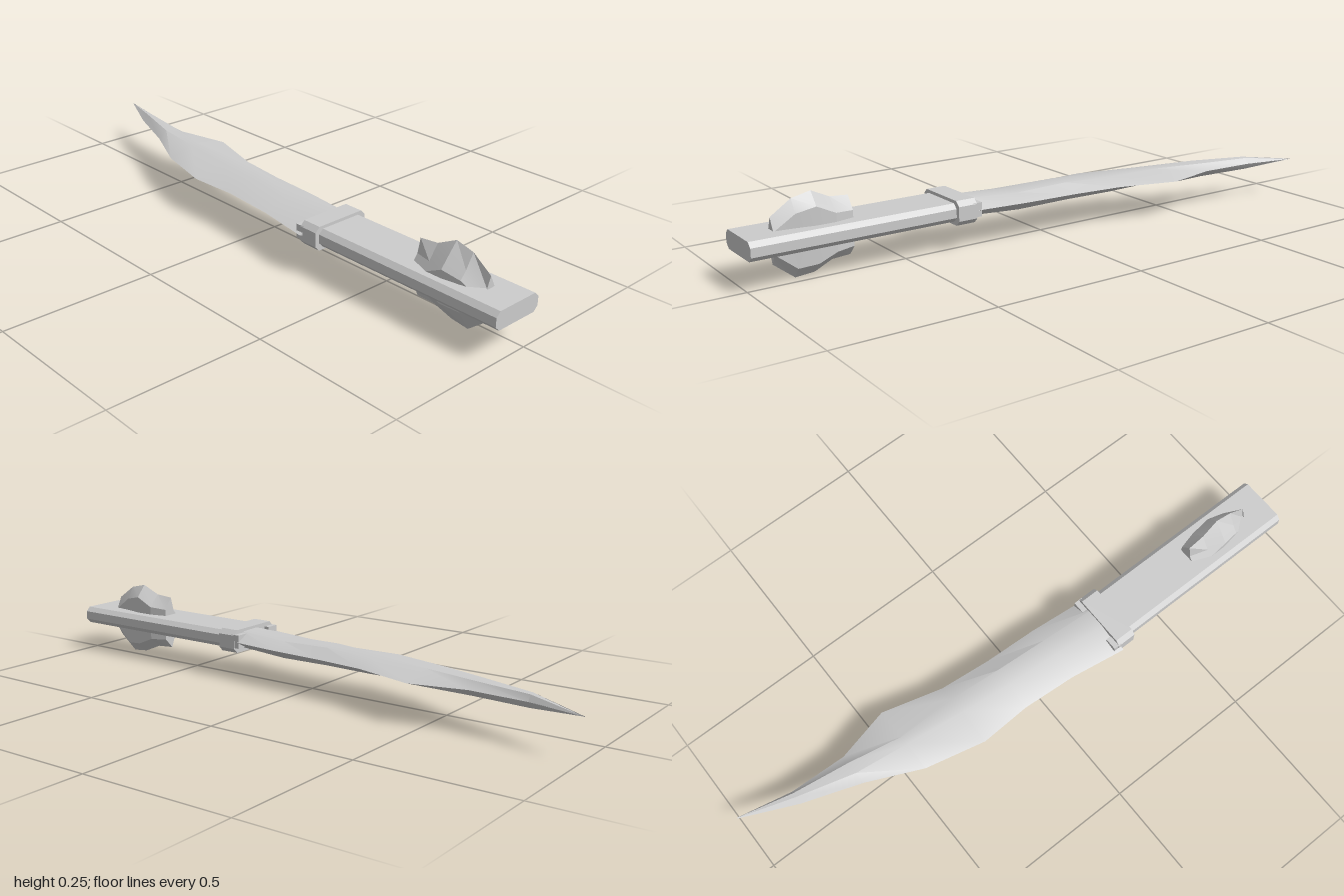
import * as THREE from 'three';
import { toCreasedNormals } from 'three/addons/utils/BufferGeometryUtils.js';

// Skin a list of closed rings, each counter-clockwise from the front and ordered front to back
function loft(rings, crease) {
  const n = rings[0].length, pos = [];
  const tri = (a, b, c) => pos.push(...a, ...b, ...c);
  for (let i = 0; i < rings.length - 1; i++) {
    for (let j = 0; j < n; j++) {
      const k = (j + 1) % n, a = rings[i], b = rings[i + 1];
      tri(a[j], b[j], a[k]);
      tri(a[k], b[j], b[k]);
    }
  }
  const first = rings[0], last = rings[rings.length - 1];
  for (let j = 1; j < n - 1; j++) {
    tri(first[0], first[j], first[j + 1]);
    tri(last[0], last[j + 1], last[j]);
  }
  const g = new THREE.BufferGeometry();
  g.setAttribute('position', new THREE.Float32BufferAttribute(pos, 3));
  return toCreasedNormals(g, crease);
}

// Rectangle with cut corners, as a ring at depth z
function cutRect(x0, x1, y0, y1, c, z) {
  return [[x0 + c, y0], [x1 - c, y0], [x1, y0 + c], [x1, y1 - c],
    [x1 - c, y1], [x0 + c, y1], [x0, y1 - c], [x0, y0 + c]].map(([x, y]) => [x, y, z]);
}

export function createModel() {
  const group = new THREE.Group();
  const steel = new THREE.MeshStandardMaterial({ color: 0xcccccc });
  steel.name = 'pale grey';
  const add = (name, geometry) => {
    const mesh = new THREE.Mesh(geometry, steel);
    mesh.name = name;
    group.add(mesh);
    return mesh;
  };

  // Flat grip and the collar that holds the blade
  add('handle', loft([1, 0.29].map(z => cutRect(-0.132, 0.045, 0.1, 0.158, 0.015, z)), 0.3));
  add('guard', loft([0.345, 0.28].map(z => cutRect(-0.147, 0.059, 0.09, 0.168, 0.016, z)), 0.3));
  for (const x of [-0.125, 0.037]) {
    add('guardTab', new THREE.BoxGeometry(0.042, 0.045, 0.03)).position.set(x, 0.132, 0.277);
  }

  // Blade stations: z, left edge, left ridge, right ridge, right edge, bottom, top
  const stations = [
    [0.29, -0.16, -0.06, 0.005, 0.057, 0.1, 0.16],
    [0.1, -0.13, -0.04, 0.02, 0.075, 0.093, 0.153],
    [-0.08, -0.117, -0.03, 0.03, 0.083, 0.098, 0.16],
    [-0.25, -0.125, -0.01, 0.045, 0.1, 0.101, 0.156],
    [-0.45, -0.078, 0.015, 0.045, 0.155, 0.104, 0.154],
    [-0.63, 0.005, 0.038, 0.08, 0.112, 0.103, 0.153],
    [-0.82, 0.072, 0.092, 0.108, 0.12, 0.108, 0.151],
    [-1, 0.155, 0.157, 0.157, 0.158, 0.13, 0.131],
  ];
  add('blade', loft(stations.map(([z, l, rl, rr, r, b, t]) => [
    [l, 0.13, z], [rl, b, z], [rr, b + 0.002, z],
    [r, 0.13, z], [rr, t - 0.002, z], [rl, t, z],
  ]), 0.45));

  // Faceted stone set through the grip: z, left, ridge x, right, bottom, top
  const cuts = [
    [0.905, -0.068, -0.04, -0.02, 0.055, 0.195],
    [0.84, -0.085, -0.038, -0.012, 0.004, 0.24],
    [0.78, -0.095, -0.036, -0.001, 0.01, 0.254],
    [0.72, -0.095, -0.042, -0.001, 0.035, 0.225],
    [0.66, -0.075, -0.045, -0.015, 0.038, 0.22],
  ];
  add('gem', loft(cuts.map(([z, l, m, r, b, t]) => [
    [l, b + 0.07, z], [m, b, z], [r, b + 0.033, z],
    [r, t - 0.04, z], [m, t, z], [l + 0.02, t - 0.045, z], [l, t - 0.07, z],
  ]), 0.2));

  return group;
}
